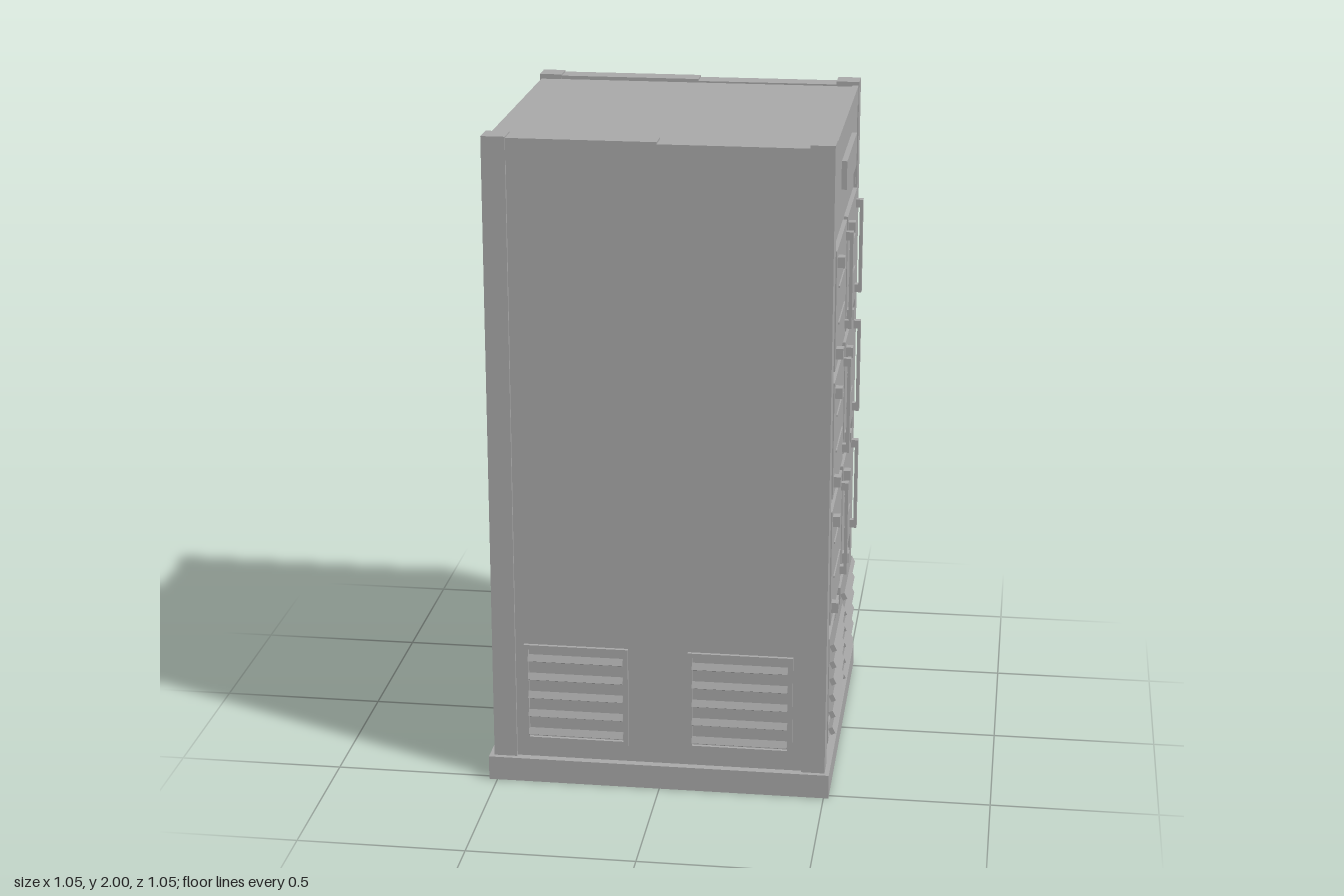
import * as THREE from 'three';

export function createModel() {
  const model = new THREE.Group();
  model.name = 'equipmentCabinet';
  const grey = new THREE.MeshStandardMaterial({ color: 0xa8a8a8 });
  grey.name = 'cabinet grey';

  // Box given by its limits on each axis
  function box(name, x0, x1, y0, y1, z0, z1, parent = model) {
    const geo = new THREE.BoxGeometry(x1 - x0, y1 - y0, z1 - z0);
    const mesh = new THREE.Mesh(geo, grey);
    mesh.name = name;
    mesh.position.set((x0 + x1) / 2, (y0 + y1) / 2, (z0 + z1) / 2);
    parent.add(mesh);
    return mesh;
  }

  // Rectangular frame in the local xy plane, facing +z
  function frame(name, w, h, border, depth, parent) {
    const shape = new THREE.Shape();
    shape.moveTo(-w / 2, -h / 2).lineTo(w / 2, -h / 2).lineTo(w / 2, h / 2).lineTo(-w / 2, h / 2).closePath();
    const a = w / 2 - border, b = h / 2 - border;
    const hole = new THREE.Path();
    hole.moveTo(-a, -b).lineTo(-a, b).lineTo(a, b).lineTo(a, -b).closePath();
    shape.holes.push(hole);
    const mesh = new THREE.Mesh(new THREE.ExtrudeGeometry(shape, { depth, bevelEnabled: false }), grey);
    mesh.name = name;
    parent.add(mesh);
  }

  // Louvred vent facing local +z, with tilted slats
  function vent(name, width, slats, pitch, out) {
    const group = new THREE.Group();
    group.name = name;
    frame('ventFrame', width + 0.03, slats * pitch + 0.015, 0.014, 0.012, group);
    for (let i = 0; i < slats; i++) {
      const slat = new THREE.Mesh(new THREE.BoxGeometry(width, 0.022, 0.015), grey);
      slat.name = 'slat';
      slat.position.set(0, (i - (slats - 1) / 2) * pitch, out);
      slat.rotation.x = -0.45;
      group.add(slat);
    }
    model.add(group);
    return group;
  }

  // Plinth, body and roof
  box('base', -0.525, 0.515, 0, 0.075, -0.52, 0.52);
  box('body', -0.505, 0.49, 0.07, 1.985, -0.495, 0.495);

  // Corner posts
  for (const s of [-1, 1]) {
    const z0 = s > 0 ? 0.43 : -0.505, z1 = s > 0 ? 0.505 : -0.43;
    box('leftRearPost', -0.51, -0.44, 0.07, 2, z0, z1);
    box('rightRearPost', 0.43, 0.501, 0.07, 2, z0, z1);

    // Two-part top rail and the side skin below it
    const r0 = s > 0 ? 0.432 : -0.501, r1 = s > 0 ? 0.501 : -0.432;
    box('topRailHigh', -0.44, -0.005, 1.93, 1.996, r0, r1);
    box('topRailLow', -0.005, 0.43, 1.93, 1.99, r0, r1);

    // Side vents
    for (const x of [-0.255, 0.243]) {
      const v = vent('sideVent', 0.287, 5, 0.06, 0.02);
      v.position.set(x, 0.286, s * 0.494);
      if (s < 0) v.rotation.y = Math.PI;
    }
  }

  // Door side surround and header
  box('headerRail', 0.48, 0.499, 1.93, 1.989, -0.43, 0.43);
  box('headerPanel', 0.48, 0.497, 1.735, 1.926, -0.425, 0.425);
  box('signPlate', 0.49, 0.513, 1.805, 1.89, -0.197, 0.203);
  for (const z of [-0.425, 0.418]) box('doorJamb', 0.48, 0.495, 0.1, 1.735, z, z + 0.007);

  // Six compartment doors with hinge, knobs and pull handle
  for (const y of [0.515, 0.915, 1.31]) {
    for (const z of [0.02, -0.4]) {
      const door = new THREE.Group();
      door.name = 'compartmentDoor';
      model.add(door);
      box('doorLeaf', 0.48, 0.503, y, y + 0.36, z, z + 0.383, door);
      box('handleBar', 0.515, 0.525, y + 0.03, y + 0.33, z + 0.01, z + 0.036, door);
      for (const h of [0.03, 0.305]) {
        box('handleMount', 0.5, 0.518, y + h, y + h + 0.025, z + 0.013, z + 0.033, door);
        box('latch', 0.5, 0.524, y + h, y + h + 0.032, z + 0.327, z + 0.358, door);
      }
      for (const h of [0.12, 0.23]) {
        box('doorRib', 0.5, 0.507, y + h, y + h + 0.006, z + 0.07, z + 0.3, door);
      }
    }
  }

  // Lower vents below the doors
  for (const z of [0.212, -0.21]) {
    const v = vent('lowerVent', 0.332, 6, 0.0545, 0.022);
    v.position.set(0.489, 0.294, z);
    v.rotation.y = Math.PI / 2;
  }

  // Socket box on the opposite side
  const outlet = new THREE.Group();
  outlet.name = 'socketBox';
  outlet.position.set(-0.504, 0.245, -0.252);
  outlet.rotation.y = -Math.PI / 2;
  frame('socketFrame', 0.345, 0.21, 0.035, 0.026, outlet);
  for (const x of [-0.085, 0, 0.085]) {
    box('socket', x - 0.032, x + 0.032, -0.05, 0.05, 0, 0.016, outlet);
  }
  model.add(outlet);

  return model;
}
